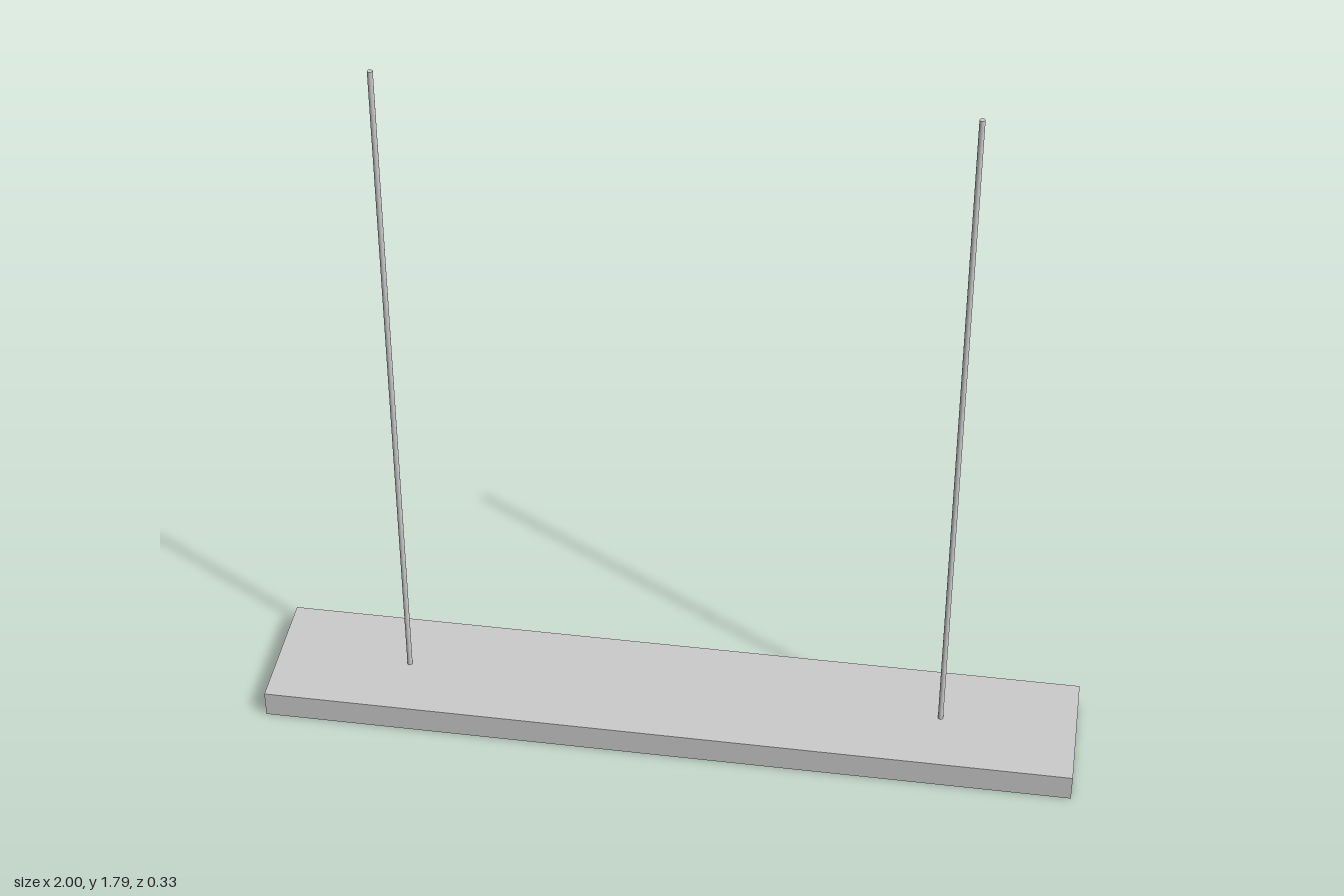
import * as THREE from 'three';

const BOARD = { width: 2, height: 0.067, depth: 0.333 };
const ROD = { radius: 0.0065, top: 1.793, x: 0.667 };

export function createModel() {
  const group = new THREE.Group();
  group.name = 'hangingBoard';
  const material = new THREE.MeshStandardMaterial({ color: 0xcccccc });

  // flat board
  const board = new THREE.Mesh(
    new THREE.BoxGeometry(BOARD.width, BOARD.height, BOARD.depth), material);
  board.name = 'board';
  board.position.y = BOARD.height / 2;
  group.add(board);

  // thin upright rods, mirrored left and right
  const length = ROD.top - BOARD.height;
  const rodGeometry = new THREE.CylinderGeometry(ROD.radius, ROD.radius, length, 16);
  for (const [name, side] of [['leftRod', 1], ['rightRod', -1]]) {
    const rod = new THREE.Mesh(rodGeometry, material);
    rod.name = name;
    rod.position.set(side * ROD.x, BOARD.height + length / 2, 0);
    group.add(rod);
  }
  return group;
}
